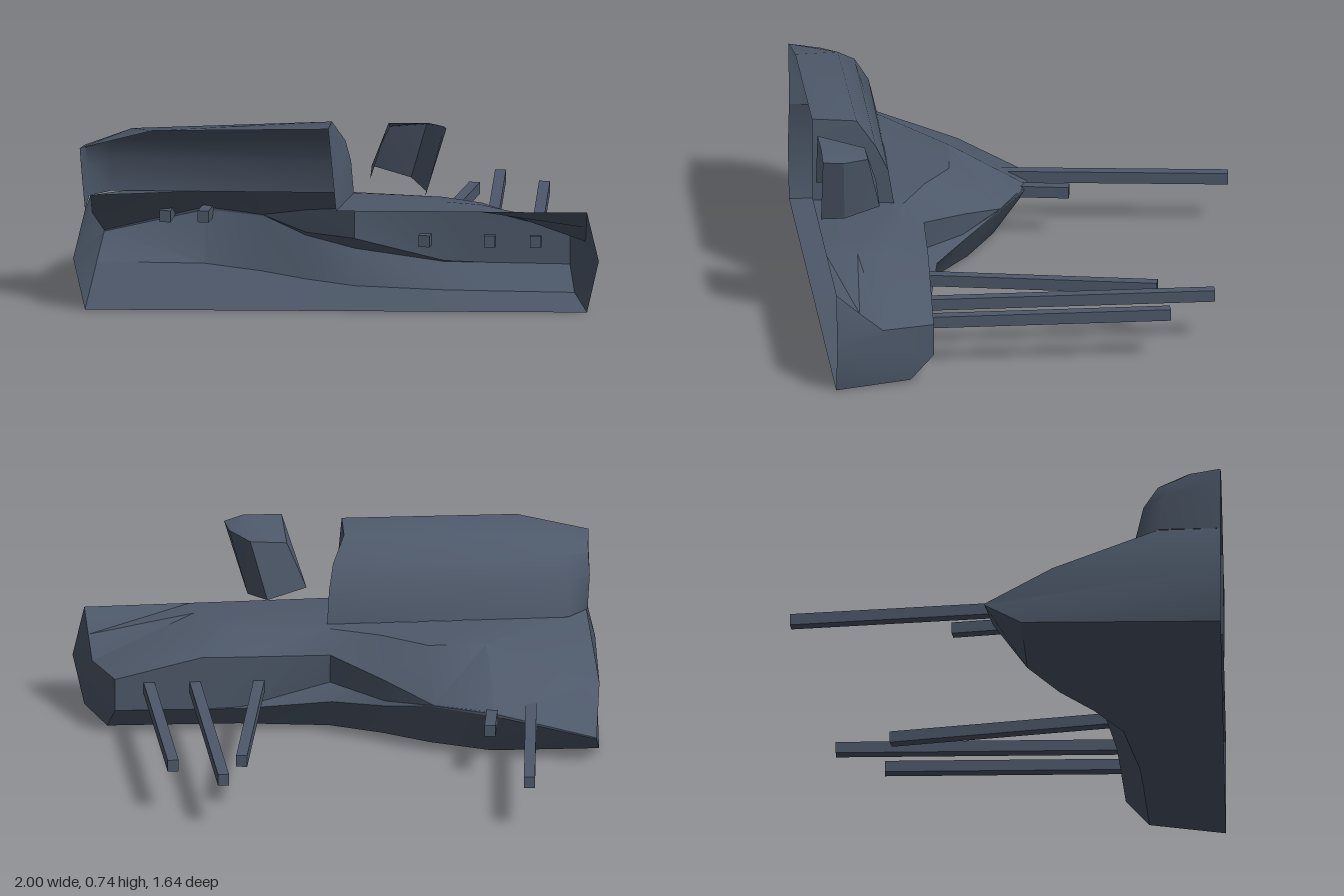
import * as THREE from 'three';
import { toCreasedNormals } from 'three/addons/utils/BufferGeometryUtils.js';

const hullGrey = new THREE.MeshStandardMaterial({ color: 0x4d5869, side: THREE.DoubleSide });
hullGrey.name = 'hullGrey';

// Collects triangles, dropping collapsed ones
function addTriangle(out, a, b, c) {
  const [p, q, r] = [a, b, c].map(v => new THREE.Vector3(...v));
  if (q.sub(p).cross(r.sub(p)).length() > 1e-7) out.push(...a, ...b, ...c);
}

// Skin between neighbouring cross-sections; skip(i, j) leaves openings
function loft(columns, skip = () => false) {
  const out = [];
  for (let i = 0; i < columns.length - 1; i++) {
    const s = columns[i], t = columns[i + 1];
    for (let j = 0; j < s.length - 1; j++) {
      if (skip(i, j)) continue;
      addTriangle(out, s[j], s[j + 1], t[j]);
      addTriangle(out, s[j + 1], t[j + 1], t[j]);
    }
  }
  return out;
}

// Fan of triangles around one centre point
function fan(centre, rim, flip = false) {
  const out = [];
  for (let i = 0; i < rim.length - 1; i++) {
    if (flip) addTriangle(out, centre, rim[i + 1], rim[i]);
    else addTriangle(out, centre, rim[i], rim[i + 1]);
  }
  return out;
}

function makeMesh(name, positions, crease = 0.5) {
  const g = new THREE.BufferGeometry();
  g.setAttribute('position', new THREE.Float32BufferAttribute(positions, 3));
  g.computeVertexNormals();
  const m = new THREE.Mesh(toCreasedNormals(g, crease), hullGrey);
  m.name = name;
  return m;
}

// One hull section at constant x: bottom, lower lip, recess, upper lip, deck
const FRONT = 0.82;
function section(x, bottomZ, low, inner, up, deck, deckZ, frontX = x) {
  return [
    [x, 0, FRONT], [x, 0.01, bottomZ],
    [x, low[1], low[0]], [x, inner[1], inner[0]], [x, up[1], up[0]],
    [x, deck[1], deck[0]], [x, 0.39, deckZ], [frontX, 0.39, FRONT],
  ];
}

export function createModel() {
  const model = new THREE.Group();
  model.name = 'armouredHull';

  // Hull shell, open along its front plane and under the superstructure
  const rightEnd = [
    [-0.955, 0, FRONT], [-0.93, 0.01, 0.06], [-0.905, 0.095, -0.08], [-0.905, 0.095, -0.08],
    [-0.905, 0.1, -0.08], [-0.945, 0.23, 0.18], [-0.94, 0.39, 0.58], [-0.955, 0.39, FRONT],
  ];
  const leftEnd = [
    [0.955, 0, FRONT], [0.9, 0.01, 0.53], [0.88, 0.1, 0.44], [0.88, 0.1, 0.44],
    [0.88, 0.225, 0.44], [0.945, 0.235, 0.64], [0.95, 0.31, 0.73], [0.955, 0.39, FRONT],
  ];
  const hull = [
    rightEnd,
    section(-0.52, 0.08, [-0.05, 0.19], [-0.05, 0.2], [-0.045, 0.205], [0.25, 0.38], 0.5),
    section(-0.3, 0.2, [0.07, 0.195], [0.07, 0.2], [0.075, 0.2], [0.27, 0.375], 0.505),
    section(-0.13, 0.33, [0.22, 0.155], [0.235, 0.17], [0.225, 0.255], [0.38, 0.385], 0.51),
    section(0.06, 0.44, [0.35, 0.135], [0.42, 0.19], [0.4, 0.305], [0.48, 0.385], 0.515, 0),
    section(0.4, 0.5, [0.41, 0.1], [0.415, 0.105], [0.415, 0.305], [0.55, 0.385], 0.65),
    section(0.55, 0.51, [0.42, 0.1], [0.42, 0.105], [0.425, 0.305], [0.6, 0.375], 0.7),
    leftEnd,
  ];
  model.add(makeMesh('hullShell', loft(hull, (i, j) => j === 6 && i < 4)));

  // Hull end plates, folded around a bulging front point
  model.add(makeMesh('rightEndPlate', fan([-1, 0.2, FRONT], rightEnd, true)));
  model.add(makeMesh('leftEndPlate', fan([1, 0.2, FRONT], leftEnd)));

  // Rounded superstructure on the deck
  const housing = [
    [[-0.955, 0.39, 0.82], [-0.965, 0.5, 0.82], [-0.973, 0.6, 0.82], [-0.975, 0.63, 0.82], [-0.975, 0.63, 0.82]],
    [[-0.945, 0.39, 0.585], [-0.955, 0.52, 0.6], [-0.955, 0.59, 0.65], [-0.96, 0.615, 0.7], [-0.975, 0.63, 0.82]],
    [[-0.86, 0.39, 0.495], [-0.86, 0.52, 0.525], [-0.85, 0.61, 0.58], [-0.78, 0.67, 0.65], [-0.7, 0.7, 0.82]],
    [[0.06, 0.39, 0.515], [0.05, 0.52, 0.535], [0.03, 0.61, 0.58], [-0.02, 0.7, 0.65], [-0.03, 0.71, 0.82]],
  ];
  model.add(makeMesh('superstructure', loft(housing), 0.9));
  model.add(makeMesh('superstructureEndPlate', fan([0, 0.39, 0.82], housing[3])));

  // Leaning lookout tower
  const tower = [
    [[0.13, 0.515, 0.82], [0.2, 0.735, 0.82]],
    [[0.13, 0.515, 0.59], [0.2, 0.68, 0.64]],
    [[0.28, 0.47, 0.59], [0.34, 0.69, 0.64]],
    [[0.34, 0.45, 0.73], [0.41, 0.705, 0.74]],
    [[0.34, 0.45, 0.82], [0.42, 0.715, 0.82]],
  ];
  model.add(makeMesh('towerWalls', loft(tower), 0.3));
  model.add(makeMesh('towerRoof', fan([0.35, 0.737, 0.82], tower.map(c => c[1]), true), 0.3));

  // Square gun barrels: muzzle x, z and breech x, z
  const barrels = new THREE.Group();
  barrels.name = 'gunBarrels';
  for (const [mx, mz, bx, bz] of [
    [-0.565, -0.82, -0.67, 0.06], [-0.483, -0.205, -0.525, 0.06],
    [0.495, -0.45, 0.325, 0.45], [0.588, -0.66, 0.575, 0.45], [0.76, -0.475, 0.75, 0.45],
  ]) {
    const length = Math.hypot(mx - bx, mz - bz);
    const barrel = new THREE.Mesh(new THREE.BoxGeometry(0.042, 0.045, length), hullGrey);
    barrel.name = 'gunBarrel';
    barrel.position.set((mx + bx) / 2, 0.187, (mz + bz) / 2);
    barrel.rotation.y = Math.atan2(bx - mx, bz - mz);
    barrels.add(barrel);
  }
  model.add(barrels);
  return model;
}
